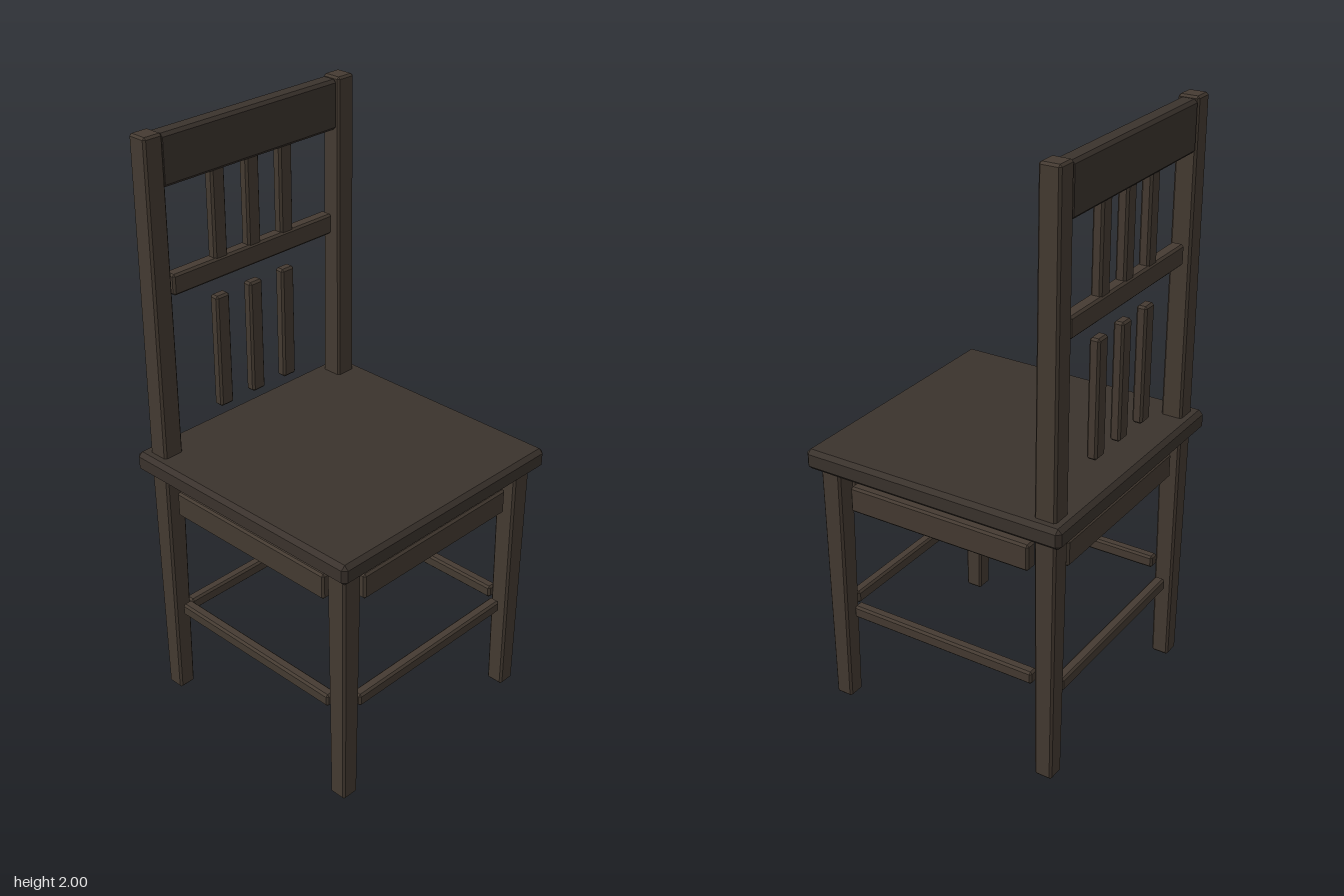
import * as THREE from 'three';
import { ConvexGeometry } from 'three/addons/geometries/ConvexGeometry.js';

const frameMat = new THREE.MeshStandardMaterial({ color: 0x453b32 });
const darkMat = new THREE.MeshStandardMaterial({ color: 0x3b332d });

// Convex solid through rings [y, halfX, halfZ, corner cut]
function hull(rings) {
  const points = [];
  for (const [y, hx, hz, cut] of rings) {
    for (const sx of [-1, 1]) for (const sz of [-1, 1]) {
      if (cut) {
        points.push(new THREE.Vector3(sx * (hx - cut), y, sz * hz));
        points.push(new THREE.Vector3(sx * hx, y, sz * (hz - cut)));
      } else points.push(new THREE.Vector3(sx * hx, y, sz * hz));
    }
  }
  return new ConvexGeometry(points);
}

// Box with every edge chamfered
function chamferBox(w, h, d, b) {
  const x = w / 2, y = h / 2, z = d / 2;
  return hull([[-y, x - b, z - b, 0], [-y + b, x, z, b], [y - b, x, z, b], [y, x - b, z - b, 0]]);
}

export function createModel() {
  const chair = new THREE.Group();
  chair.name = 'chair';

  const add = (name, geometry, x, y, z, material = frameMat) => {
    const mesh = new THREE.Mesh(geometry, material);
    mesh.name = name;
    mesh.position.set(x, y, z);
    chair.add(mesh);
    return mesh;
  };

  // Seat and the panel beneath it
  add('seat', chamferBox(0.93, 0.07, 0.93, 0.014), 0, 0.905, 0, darkMat);
  add('seatUnderPanel', chamferBox(0.73, 0.05, 0.73, 0.012), 0, 0.855, 0, darkMat);

  // Tapered front legs and back posts
  const B = 0.007, L = 0.395;
  const foot = [[0, 0.025, 0.025, 0], [B, 0.031, 0.031, B]];
  const frontLeg = hull([...foot, [0.88, 0.037, 0.037, B]]);
  const backPost = hull([...foot, [0.9, 0.037, 0.037, B],
    [2 - B, 0.035, 0.035, B], [2, 0.028, 0.028, 0]]);
  for (const [side, s] of [['left', 1], ['right', -1]]) {
    add(side + 'FrontLeg', frontLeg, s * L, 0, L);
    add(side + 'BackPost', backPost, s * L, 0, -L);
  }

  // Aprons and stretchers on the four sides; the back stretcher sits lower
  const apron = chamferBox(0.66, 0.09, 0.045, 0.007);
  const stretcher = chamferBox(0.685, 0.044, 0.038, 0.007);
  ['front', 'left', 'back', 'right'].forEach((side, i) => {
    const a = i * Math.PI / 2, x = L * Math.sin(a), z = L * Math.cos(a);
    add(side + 'Apron', apron, x, 0.779, z).rotation.y = a;
    add(side + 'Stretcher', stretcher, x, side === 'back' ? 0.306 : 0.348, z).rotation.y = a;
  });

  // Back rails
  add('topRail', chamferBox(0.73, 0.165, 0.06, 0.01), 0, 1.911, -0.398, darkMat);
  add('middleRail', chamferBox(0.685, 0.07, 0.045, 0.007), 0, 1.51, -L);

  // Two rows of spindles
  const upper = chamferBox(0.055, 0.33, 0.036, 0.007);
  const lower = chamferBox(0.055, 0.395, 0.036, 0.007);
  for (const x of [-0.142, 0, 0.142]) {
    add('upperSpindle', upper, x, 1.685, -L);
    add('lowerSpindle', lower, x, 1.215, -L);
  }
  return chair;
}
